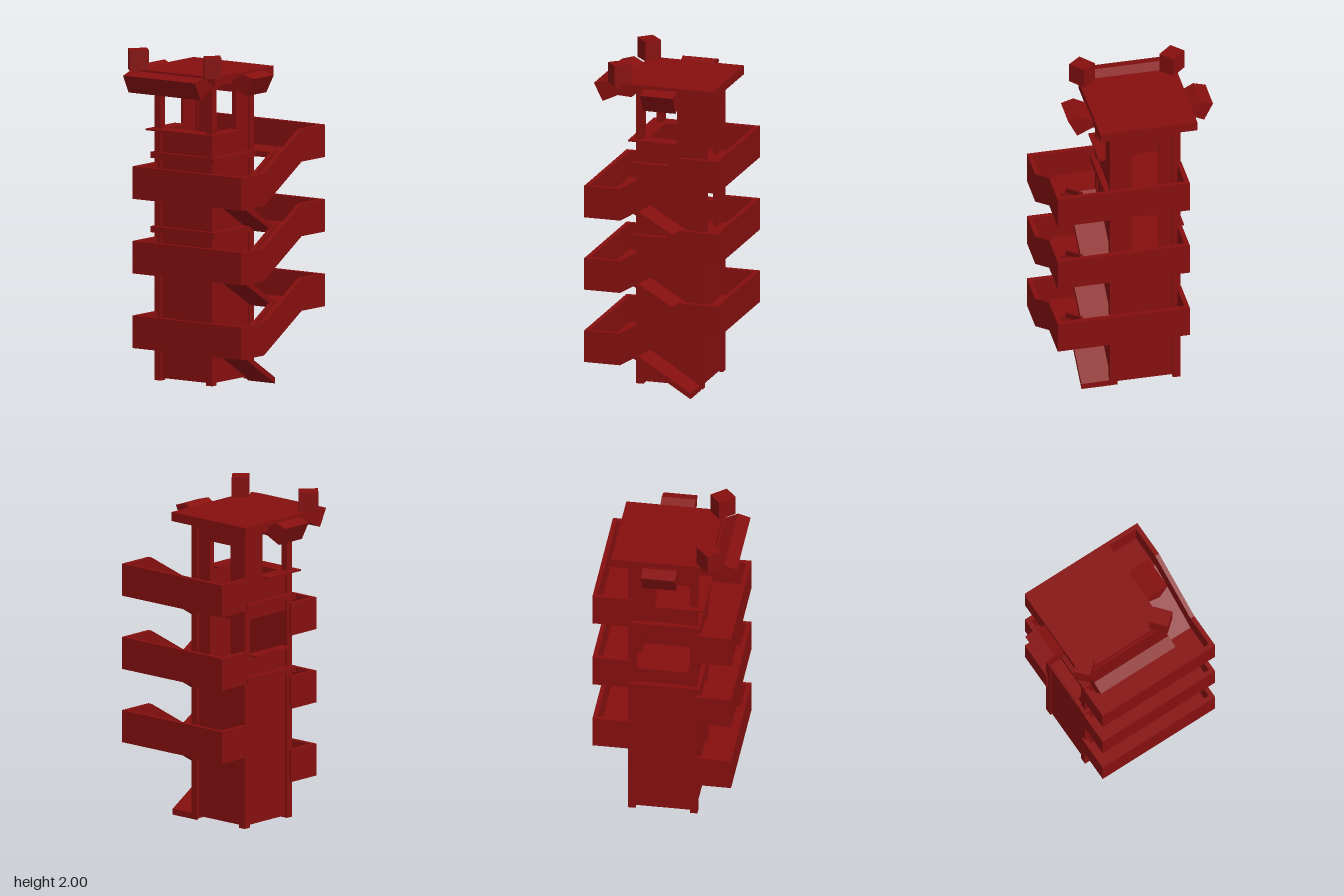
import * as THREE from 'three';

const red = new THREE.MeshStandardMaterial({ color: 0x860f0f, flatShading: true, side: THREE.DoubleSide });

export function createModel() {
  const model = new THREE.Group();

  const add = (name, geometry) => {
    const mesh = new THREE.Mesh(geometry, red);
    mesh.name = name;
    model.add(mesh);
    return mesh;
  };
  // Box given by its two extreme corners
  const box = (name, x0, x1, y0, y1, z0, z1) =>
    add(name, new THREE.BoxGeometry(x1 - x0, y1 - y0, z1 - z0)
      .translate((x0 + x1) / 2, (y0 + y1) / 2, (z0 + z1) / 2));
  const extrude = (points, depth) => new THREE.ExtrudeGeometry(
    new THREE.Shape(points.map(([a, b]) => new THREE.Vector2(a, b))), { depth, bevelEnabled: false });
  // Outline in (z, y), extruded from x0 to x1
  const sidePrism = (name, points, x0, x1) =>
    add(name, extrude(points, x1 - x0).rotateY(-Math.PI / 2).translate(x1, 0, 0));
  // Outline in (x, y), extruded from z0 to z1
  const frontPrism = (name, points, z0, z1, holes = []) => {
    const shape = new THREE.Shape(points.map(([a, b]) => new THREE.Vector2(a, b)));
    for (const [a0, a1, b0, b1] of holes) {
      shape.holes.push(new THREE.Path([[a0, b0], [a0, b1], [a1, b1], [a1, b0]]
        .map(([a, b]) => new THREE.Vector2(a, b))));
    }
    return add(name, new THREE.ExtrudeGeometry(shape, { depth: z1 - z0, bevelEnabled: false }).translate(0, 0, z0));
  };

  // Corner posts
  for (const x of [-0.285, 0.095]) {
    for (const z of [-0.225, 0.145]) box('cornerPost', x, x + 0.045, 0.015, 1.83, z, z + 0.045);
  }

  // Tower walls, open at the bottom and around the lookout
  box('frontWall', -0.25, 0.105, 0.03, 1.515, 0.155, 0.178);
  box('leftWall', 0.11, 0.13, 0.03, 1.515, -0.19, 0.155);
  const z0 = -0.19, z1 = 0.155;
  box('rightWallLower', -0.275, -0.255, 0.03, 1.06, z0, z1);
  box('rightWallUpper', -0.275, -0.255, 1.28, 1.515, z0, z1);
  frontPrism('backWall', [[-0.25, 0.03], [0.105, 0.03], [0.105, 1.825], [-0.25, 1.825]], -0.212, -0.19,
    [[-0.16, 0.005, 0.935, 1.27], [-0.16, 0.005, 1.38, 1.72]]);
  for (const x of [-0.275, 0.11]) box('lookoutSidePanel', x, x + 0.02, 1.5, 1.825, z0, -0.06);

  // Floor slabs with a slight overhang
  for (const y of [0.9, 1.345]) box('floorSlab', -0.305, 0.165, y, y + 0.036, -0.215, 0.205);

  // Window sills
  box('frontSill', -0.32, 0.17, 1.512, 1.522, 0.13, 0.23);
  box('leftSill', 0.08, 0.17, 1.512, 1.522, -0.06, 0.13);
  box('rightSill', -0.32, -0.23, 1.512, 1.522, -0.06, 0.13);
  box('windowSill', -0.32, -0.25, 1.055, 1.065, -0.17, 0.14);

  // Stairs: three storeys of inner flight, front landing, outer flight and back landing
  const front = 0.17, back = -0.205, floor = 0.036, wall = 0.195, rise = 0.222;
  const slope = (ya, yb, t) => [[front, ya], [back, yb], [back, yb + t], [front, ya + t]];
  for (let i = 0; i < 3; i++) {
    const y = 0.23 + i * 0.4465, top = y + rise;
    const start = i ? y - 0.2245 : 0;
    sidePrism('innerFlight', slope(y, start, floor), 0.115, 0.31);
    sidePrism('outerFlight', slope(y, top, floor), 0.31, 0.48);
    sidePrism('stringer', slope(y, top, 0.065), 0.3, 0.322);

    box('frontLanding', -0.29, 0.5, y + 0.002, y + floor, front, 0.385);
    box('frontParapet', -0.295, 0.505, y, y + wall, 0.365, 0.393);
    box('frontLandingEnd', -0.295, -0.267, y, y + wall, 0.17, 0.37);

    box('backLanding', -0.29, 0.5, top + 0.002, top + floor, -0.43, back);
    box('backParapet', -0.295, 0.505, top, top + wall, -0.437, -0.41);
    box('backLandingEnd', -0.295, -0.267, top, top + wall, -0.415, back);

    sidePrism('outerParapet', [
      [0.393, y], [front, y], [back, top], [-0.437, top],
      [-0.437, top + wall], [back, top + wall], [front, y + wall], [0.393, y + wall],
    ], 0.479, 0.506);
  }

  // Roof
  box('roof', -0.37, 0.22, 1.825, 1.88, -0.313, 0.272);

  // Floodlights: one wide at the front, a narrow one on each side
  const lamp = [[0.2, 1.795], [0.285, 1.8], [0.381, 1.755], [0.435, 1.862], [0.36, 1.884], [0.285, 1.845], [0.2, 1.835]];
  sidePrism('frontFloodlight', lamp, -0.335, 0.195);
  for (const s of [-1, 1]) {
    frontPrism('sideFloodlight', lamp.map(([u, y]) => [-0.07 + s * (u + 0.004), y]), -0.113, 0.09);
  }

  // Loudspeakers on the front roof corners
  for (const [x, turn] of [[-0.345, -0.82], [0.2, 0.7]]) {
    const speaker = add('loudspeaker', new THREE.BoxGeometry(0.1, 0.122, 0.115));
    speaker.position.set(x, 1.939, 0.269);
    speaker.rotation.y = turn;
  }

  return model;
}
